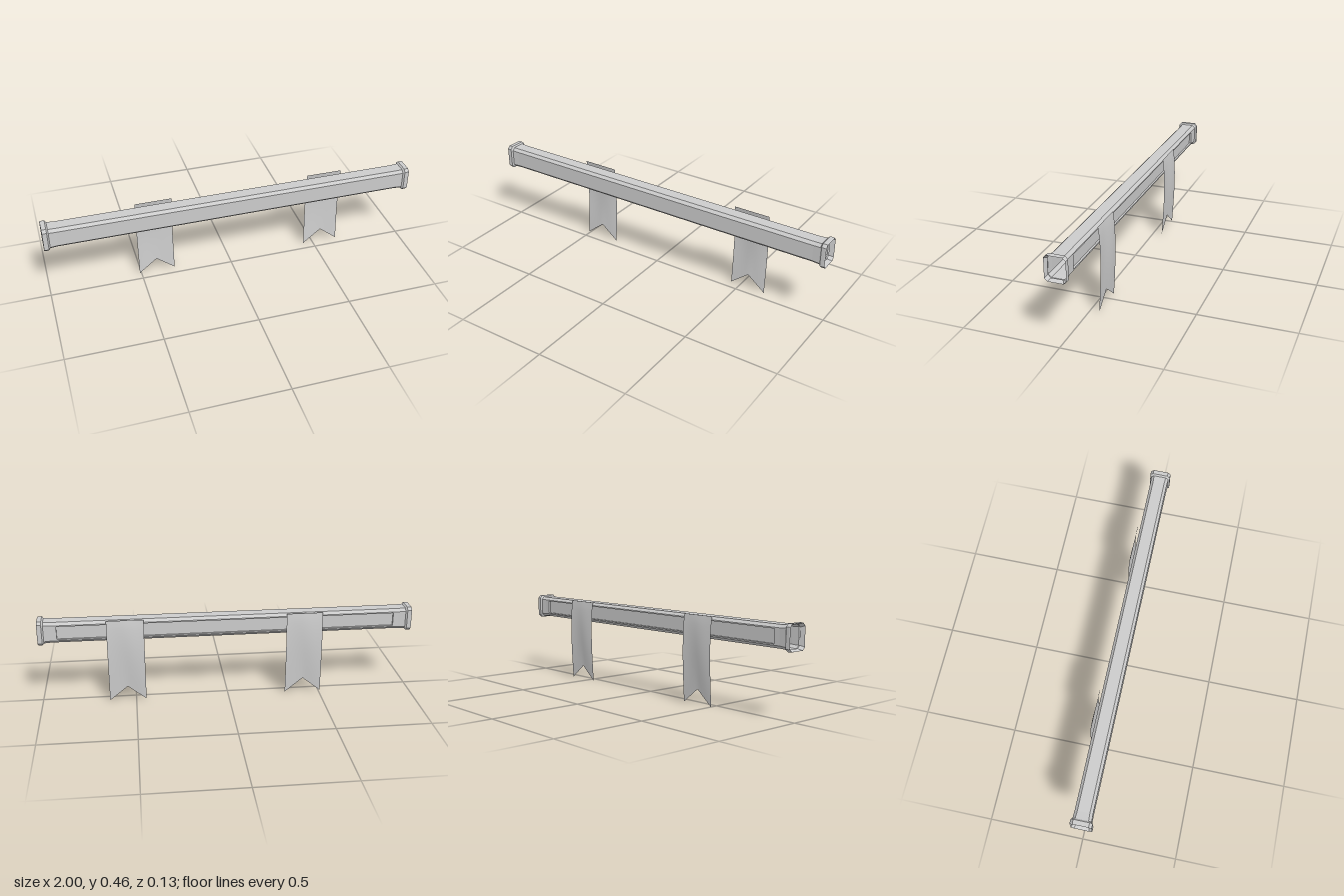
import * as THREE from 'three';

const CY = 0.398, CZ = 0.008; // centre line of the beam
const HZ = 0.0455, HY = 0.0565, CHAMFER = 0.0145;
const flat = new THREE.MeshStandardMaterial({ color: 0xcccccc, flatShading: true, side: THREE.DoubleSide });
const cloth = new THREE.MeshStandardMaterial({ color: 0xcccccc, side: THREE.DoubleSide });

// Chamfered rectangle as [z, y] corners, grown by an offset
function section(offset) {
  const z = HZ + offset, y = HY + offset, c = CHAMFER;
  return [[z, c - y], [z, y - c], [z - c, y], [c - z, y], [-z, y - c], [-z, c - y], [c - z, -y], [z - c, -y]]
    .map(([pz, py]) => [pz + CZ, py + CY]);
}

// Loft [x, offset] rings along x, leaving out one side if asked
function loft(rings, skip = -1) {
  const pos = [];
  for (let i = 0; i < rings.length - 1; i++) {
    const a = section(rings[i][1]), b = section(rings[i + 1][1]);
    for (let j = 0; j < 8; j++) {
      if (j === skip) continue;
      const k = (j + 1) % 8;
      const corner = (x, p) => [x, p[1], p[0]];
      const q = [corner(rings[i][0], a[j]), corner(rings[i + 1][0], b[j]),
        corner(rings[i + 1][0], b[k]), corner(rings[i][0], a[k])];
      for (const n of [0, 1, 2, 0, 2, 3]) pos.push(...q[n]);
    }
  }
  const g = new THREE.BufferGeometry();
  g.setAttribute('position', new THREE.Float32BufferAttribute(pos, 3));
  g.computeVertexNormals();
  return g;
}

function rectangle(Type, w, h) {
  return new Type([[-w, -h], [w, -h], [w, h], [-w, h]].map(([x, y]) => new THREE.Vector2(x, y)));
}

// Hanging cloth with a swallowtail end and a soft ripple
function bannerGeometry() {
  const g = new THREE.PlaneGeometry(0.196, 1, 12, 16);
  const p = g.attributes.position, uv = g.attributes.uv;
  const top = 0.458;
  for (let i = 0; i < p.count; i++) {
    const u = uv.getX(i), v = 1 - uv.getY(i);
    const bottom = 0.079 * (1 - Math.abs(2 * u - 1));
    const bulge = 0.0115 * Math.sin(Math.PI * Math.pow(v, 0.75));
    const ripple = 0.0038 * Math.sin(Math.PI * v) * Math.sin(2 * Math.PI * u);
    p.setY(i, THREE.MathUtils.lerp(top, bottom, v));
    p.setZ(i, -0.048 - bulge - ripple);
  }
  g.computeVertexNormals();
  return g;
}

export function createModel() {
  const model = new THREE.Group();
  const add = (name, geometry, material = flat) => {
    const mesh = new THREE.Mesh(geometry, material);
    mesh.name = name;
    model.add(mesh);
    return mesh;
  };

  // Hollow beam; its back side is the framed panel below
  add('beam', loft([[-0.93, 0], [0.93, 0]], 4));

  // Back panel with the long recess
  const face = rectangle(THREE.Shape, 0.93, HY - CHAMFER);
  face.holes.push(rectangle(THREE.Path, 0.9, 0.0355));
  const panel = add('backPanel', new THREE.ShapeGeometry(face));
  panel.rotation.y = Math.PI;
  panel.position.set(0, CY, CZ - HZ);

  // Recess tray: a box without its outer face
  const tray = new THREE.BoxGeometry(1.8, 0.071, 0.0105);
  tray.setIndex([...tray.index.array].slice(0, 30).reverse()); // walls face inward
  tray.clearGroups();
  const trayMesh = add('recess', tray.toNonIndexed());
  trayMesh.geometry.computeVertexNormals();
  trayMesh.position.set(0, CY, CZ - HZ + 0.00525);

  // Flared end caps, open in the middle
  for (const [name, side] of [['leftEndCap', 1], ['rightEndCap', -1]]) {
    const cap = add(name, loft([[0.93, 0], [0.968, 0.002], [0.976, 0.0095], [0.994, 0.0095], [1, 0.008], [0.975, 0]]));
    if (side < 0) cap.rotation.y = Math.PI;
    if (side < 0) cap.position.z = 2 * CZ;
  }

  // Banners hanging behind the beam
  const banner = bannerGeometry();
  add('rightBanner', banner, cloth).position.x = -0.411;
  add('leftBanner', banner, cloth).position.x = 0.544;

  return model;
}
